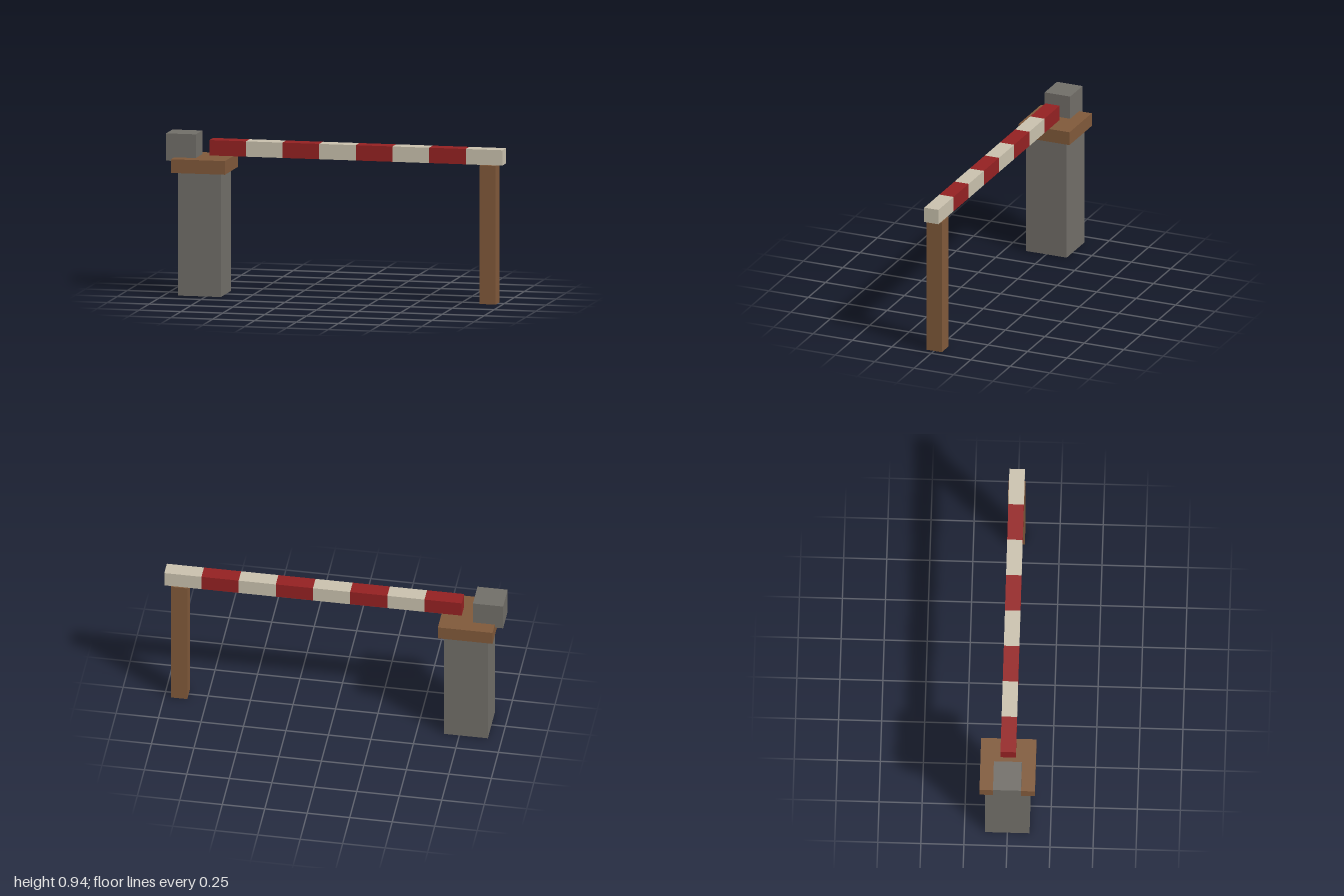
import * as THREE from 'three';

const material = (name, color) => {
  const m = new THREE.MeshStandardMaterial({ color });
  m.name = name;
  return m;
};

export function createModel() {
  const stone = material('stone grey', 0x716e68);
  const wood = material('brown wood', 0x80593a);
  const red = material('barrier red', 0x942122);
  const cream = material('barrier cream', 0xc9c1ad);

  const model = new THREE.Group();
  model.name = 'barrierGate';

  // Box spanning x0..x1 and y0..y1, centred on z = 0
  const addBox = (parent, name, mat, x0, x1, y0, y1, depth) => {
    const mesh = new THREE.Mesh(new THREE.BoxGeometry(x1 - x0, y1 - y0, depth), mat);
    mesh.position.set((x0 + x1) / 2, (y0 + y1) / 2, 0);
    mesh.name = name;
    parent.add(mesh);
  };

  // Pivot pillar with its cap and counterweight
  addBox(model, 'pillar', stone, -0.918, -0.661, 0, 0.723, 0.258);
  addBox(model, 'pillarCap', wood, -0.951, -0.629, 0.723, 0.803, 0.322);
  addBox(model, 'counterweight', stone, -1, -0.822, 0.782, 0.942, 0.162);

  // Rest post at the far end
  addBox(model, 'restPost', wood, 0.864, 0.961, 0, 0.813, 0.098);

  // Boom of alternating coloured segments
  const boom = new THREE.Group();
  boom.name = 'boom';
  model.add(boom);
  const segments = 8, start = -0.75, step = (1 - start) / segments;
  for (let i = 0; i < segments; i++) {
    const x = start + i * step;
    addBox(boom, `boomSegment${i + 1}`, i % 2 ? cream : red, x, x + step, 0.816, 0.906, 0.09);
  }

  return model;
}
